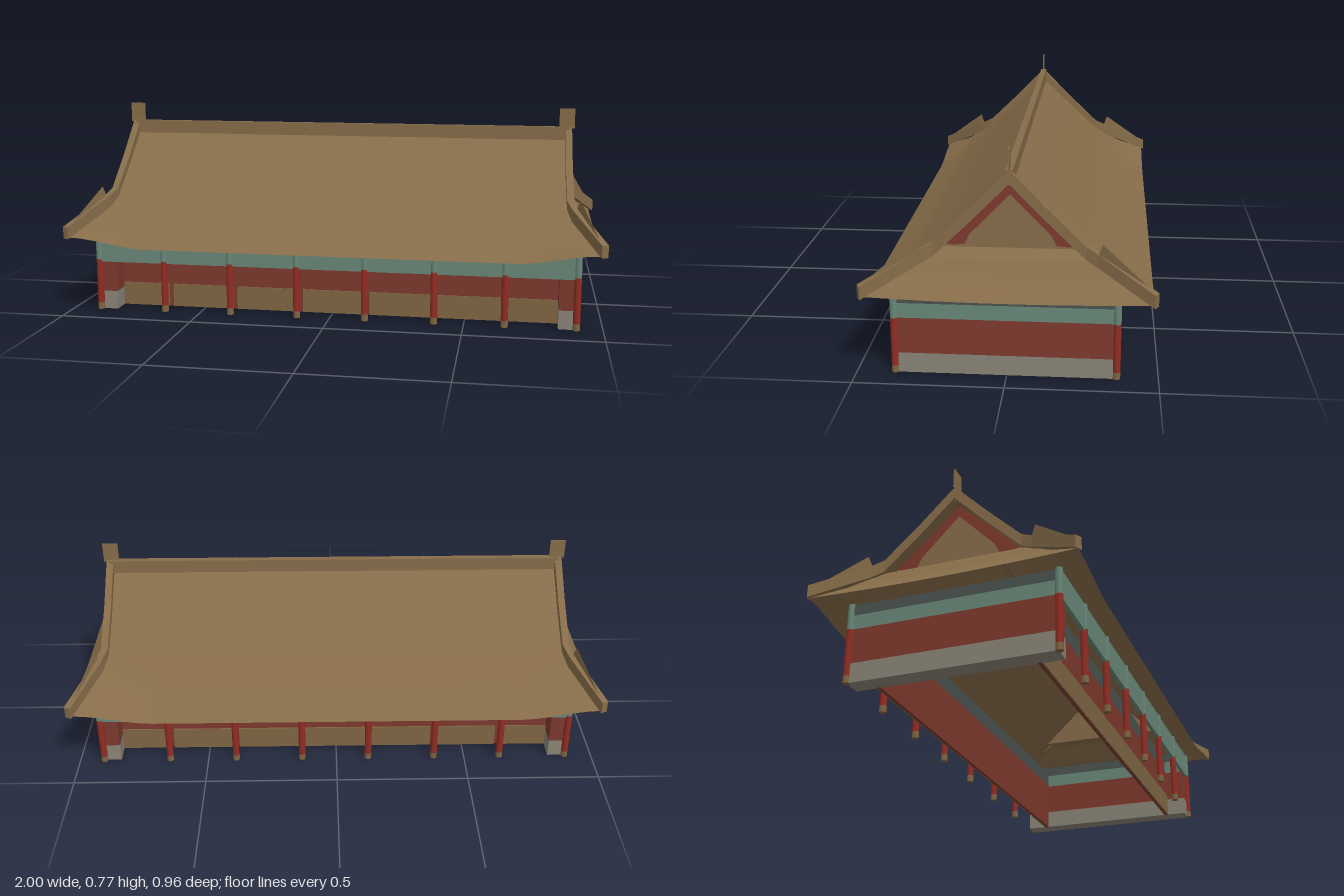
import * as THREE from 'three';

const material = (name, color, doubleSided = false) => {
  const m = new THREE.MeshStandardMaterial({ color });
  m.name = name;
  if (doubleSided) m.side = THREE.DoubleSide;
  return m;
};

// Surface from a rule: fn(u, v) -> [x, y, z], u and v in 0..1
function sheet(fn, nu, nv) {
  const g = new THREE.PlaneGeometry(1, 1, nu, nv);
  const p = g.attributes.position;
  for (let i = 0; i < p.count; i++) p.setXYZ(i, ...fn(p.getX(i) + 0.5, 0.5 - p.getY(i)));
  g.computeVertexNormals();
  return g;
}

// Four-sided bar of constant height hanging below a line of top points
function bar(points, width, height) {
  const pos = [];
  const rings = points.map((p, i) => {
    const a = points[Math.max(i - 1, 0)], b = points[Math.min(i + 1, points.length - 1)];
    const t = new THREE.Vector3(b[0] - a[0], 0, b[2] - a[2]).normalize();
    const s = new THREE.Vector3(-t.z, 0, t.x).multiplyScalar(width / 2);
    const c = (k, dy) => [p[0] + s.x * k, p[1] + dy, p[2] + s.z * k];
    return [c(-1, 0), c(1, 0), c(1, -height), c(-1, -height)];
  });
  const quad = (a, b, c, d) => pos.push(...a, ...b, ...c, ...a, ...c, ...d);
  for (let i = 0; i < rings.length - 1; i++)
    for (let k = 0; k < 4; k++) {
      const n = (k + 1) % 4;
      quad(rings[i][k], rings[i + 1][k], rings[i + 1][n], rings[i][n]);
    }
  quad(...rings[0]);
  quad(...rings[rings.length - 1].slice().reverse());
  const g = new THREE.BufferGeometry();
  g.setAttribute('position', new THREE.Float32BufferAttribute(pos, 3));
  g.computeVertexNormals();
  return g;
}

export function createModel() {
  const tile = material('roofTileBrown', 0x866c49, true);
  const red = material('wallRed', 0x7d392e);
  const bargeRed = material('gableRed', 0x7d392e, true);
  const columnRed = material('columnRed', 0x922c23);
  const teal = material('beamTeal', 0x698778);
  const slate = material('friezeSlate', 0x4a524e);
  const stone = material('plinthStone', 0x8a8376);
  const wood = material('panelBrown', 0x7f6543);

  const model = new THREE.Group();
  model.name = 'hall';
  const body = new THREE.Group();
  body.name = 'body';
  body.position.set(0.005, 0, 0.005);
  const roof = new THREE.Group();
  roof.name = 'roof';
  roof.position.z = -0.008;
  model.add(body, roof);

  const add = (parent, name, geometry, mat) => {
    const m = new THREE.Mesh(geometry, mat);
    m.name = name;
    parent.add(m);
    return m;
  };
  const box = (name, mat, w, h, d, x, y, z) =>
    add(body, name, new THREE.BoxGeometry(w, h, d), mat).position.set(x, y + h / 2, z);

  // Columns: brown foot, red shaft, teal head
  const bay = 1.8 / 7, colZ = 0.367;
  const parts = [['columnFoot', wood, 0, 0.025], ['columnShaft', columnRed, 0.025, 0.195], ['columnHead', teal, 0.195, 0.29]];
  for (const s of [1, -1])
    for (let i = 0; i < 8; i++)
      for (const [name, mat, y0, y1] of parts)
        add(body, name, new THREE.CylinderGeometry(0.013, 0.013, y1 - y0, 12), mat)
          .position.set(-0.9 + i * bay, (y0 + y1) / 2, s * colZ);

  for (const s of [1, -1]) {
    // Recessed long walls with low panels between the columns
    box('longWall', red, 1.68, 0.2, 0.012, 0, 0, s * 0.28);
    box('longWallFrieze', slate, 1.68, 0.06, 0.012, 0, 0.2, s * 0.28);
    for (let i = 0; i < 7; i++) {
      const x0 = Math.max(-0.84, -0.9 + i * bay + 0.008), x1 = Math.min(0.84, -0.9 + (i + 1) * bay - 0.008);
      box('lowPanel', wood, x1 - x0, 0.088, 0.006, (x0 + x1) / 2, 0, s * 0.288);
    }
    // Beam along the columns
    box('eaveBeam', teal, 1.8, 0.1, 0.014, 0, 0.187, s * colZ);
    // Thick end walls in bands
    for (const [name, mat, y0, y1] of [['endPlinth', stone, 0, 0.07], ['endWall', red, 0.07, 0.195],
      ['endBeam', teal, 0.195, 0.247], ['endFrieze', slate, 0.247, 0.285]])
      box(name, mat, 0.07, y1 - y0, 0.73, s * 0.87, y0, 0);
  }

  // Roof section: height over distance from the ridge, and half-length
  const section = [[0, 0.655], [0.13, 0.53], [0.25, 0.42], [0.36, 0.33], [0.472, 0.258]];
  const roofY = z => {
    let i = 0;
    while (i < 3 && z > section[i + 1][0]) i++;
    const [a, b] = [section[i], section[i + 1]];
    return a[1] + (b[1] - a[1]) * (z - a[0]) / (b[0] - a[0]);
  };
  const hip = z => Math.max(0, (z - 0.26) / 0.212);
  const halfLength = z => 0.87 + 0.112 * hip(z);
  const lift = (x, z) => 0.037 * hip(z) * THREE.MathUtils.smoothstep(Math.abs(x), 0.68, 0.98);

  // Long slopes with upturned corners
  for (const s of [1, -1])
    add(roof, 'longSlope', sheet((u, v) => {
      const z = 0.472 * v, x = s * (2 * u - 1) * halfLength(z);
      return [x, roofY(z) + lift(x, z), s * z];
    }, 40, 20), tile);

  for (const s of [1, -1]) {
    // End skirt from gable foot to end eave
    add(roof, 'endSkirt', sheet((u, v) => {
      const r = 1 - 2 * u, z = 0.25 + 0.222 * v, x = halfLength(z);
      const inner = v === 0 ? 0.83 : x;
      return [s * inner, roofY(z) + lift(x, z) - 0.01 * v * (1 - r * r), s * r * z];
    }, 20, 12), tile);

    // Recessed gable and the red band beneath its verge
    const gable = new THREE.Shape([[-0.26, 0.405], [0.26, 0.405], [0, 0.65]].map(p => new THREE.Vector2(...p)));
    const g = add(roof, 'gable', new THREE.ShapeGeometry(gable), tile);
    g.position.x = s * 0.83;
    g.rotation.y = s * Math.PI / 2;
    const band = new THREE.Shape([[0, 0.648], [-0.225, 0.435], [-0.19, 0.428], [-0.15, 0.432], [-0.135, 0.465],
      [0, 0.605], [0.135, 0.465], [0.15, 0.432], [0.19, 0.428], [0.225, 0.435]].map(p => new THREE.Vector2(...p)));
    const b = add(roof, 'gableBand', new THREE.ShapeGeometry(band), bargeRed);
    b.position.x = s * 0.836;
    b.rotation.y = s * Math.PI / 2;

    for (const f of [1, -1]) {
      // Verge running down into the hip ridge
      const line = [[0.868, 0.697, 0], [0.87, 0.57, 0.125], [0.875, 0.45, 0.25], [0.89, 0.428, 0.295], [0.988, 0.335, 0.475]];
      add(roof, 'vergeAndHipRidge', bar(line.map(([x, y, z]) => [s * x, y, f * z]), 0.026, 0.045), tile);
      // Upright fin on the hip
      const fin = new THREE.BufferGeometry().setFromPoints([[0.975, 0.337, 0.465], [0.905, 0.465, 0.302], [0.895, 0.42, 0.285]]
        .map(([x, y, z]) => new THREE.Vector3(s * x, y, f * z)));
      fin.computeVertexNormals();
      add(roof, 'hipFin', fin, tile);
    }

    // Ridge end plate
    add(roof, 'ridgeEndPlate', new THREE.BoxGeometry(0.058, 0.075, 0.004), tile).position.set(s * 0.862, 0.728, 0);
  }

  // Main ridge
  add(roof, 'mainRidge', new THREE.BoxGeometry(1.74, 0.05, 0.024), tile).position.set(0, 0.671, 0);

  // Bars are wound differently on mirrored sides; the double-sided tile covers both
  return model;
}
